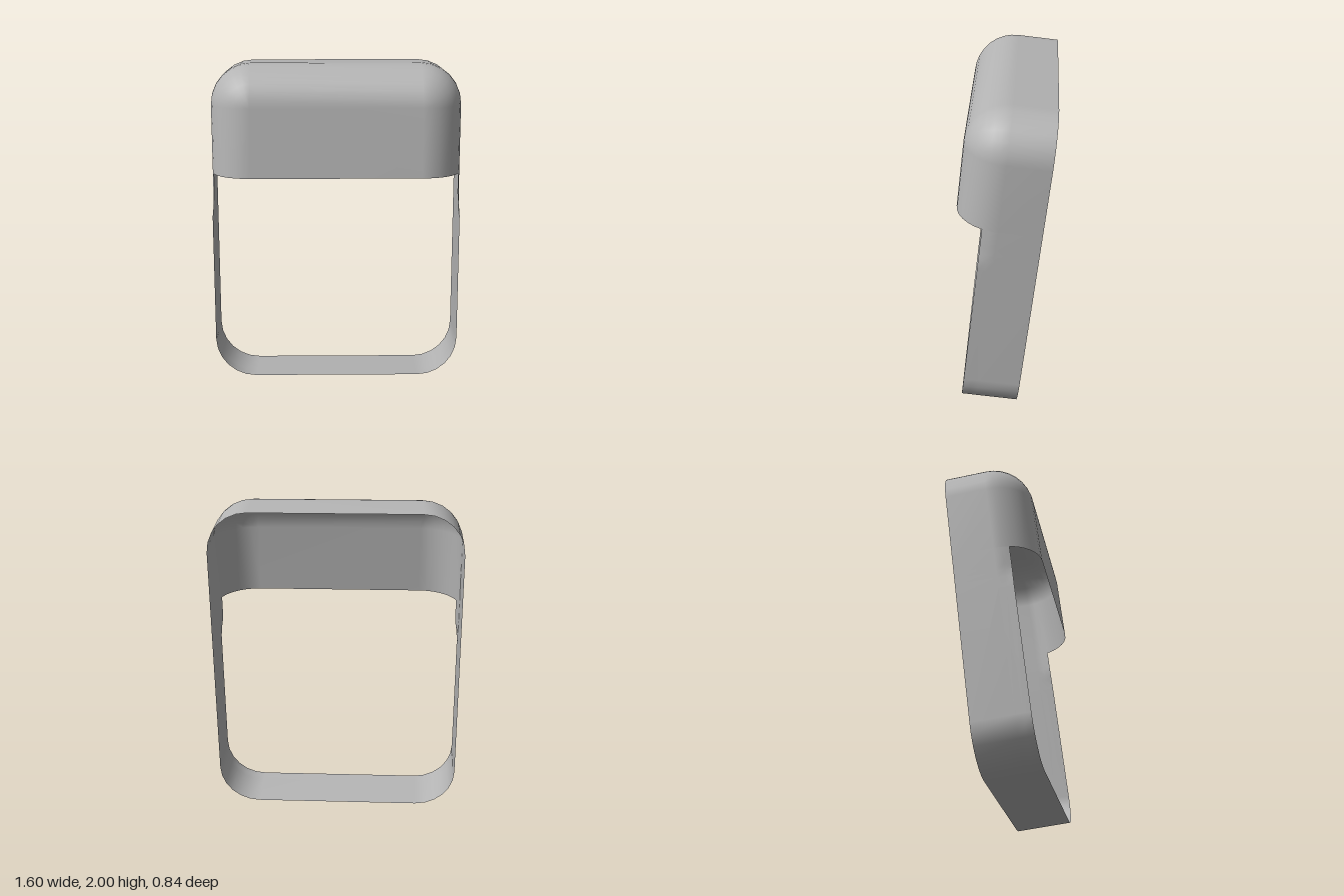
import * as THREE from 'three';
import { mergeVertices } from 'three/addons/utils/BufferGeometryUtils.js';

const R = 0.25;              // corner and fillet radius
const HALF = 0.765 - R;      // corner centre, half width
const LOW = 0.007 + R;       // lower corner centre height
const HIGH = 1.988 - R;      // upper corner centre height
const SPLIT = 1.318;         // lower edge of the hood
const BACK = -0.06, RIM = 0.282, FRONT = 0.441;
const FILLET = FRONT - R;    // depth where the front fillet starts

// Outline point: corner centre plus direction in degrees
const spot = (u, v, deg) => ({ u, v, a: THREE.MathUtils.degToRad(deg) });

function corner(u, v, from, steps = 6) {
  return Array.from({ length: steps + 1 }, (_, i) => spot(u, v, from + (90 * i) / steps));
}

// Skin between rows of points
function skin(rows) {
  const n = rows[0].length, index = [];
  for (let j = 0; j < rows.length - 1; j++) {
    for (let i = 0; i < n - 1; i++) {
      const a = j * n + i, b = a + 1, c = b + n, d = a + n;
      index.push(a, b, d, b, c, d);
    }
  }
  const g = new THREE.BufferGeometry();
  g.setAttribute('position', new THREE.Float32BufferAttribute(rows.flat(2), 3));
  g.setIndex(index);
  const welded = mergeVertices(g, 1e-4);
  welded.computeVertexNormals();
  return welded;
}

const place = (p, w, inset) => [
  p.u + Math.cos(p.a) * (R - inset), p.v + Math.sin(p.a) * (R - inset), w];

// Inset of the fillet at a given depth
function filletInset(w) {
  const s = Math.max(0, (w - FILLET) / R);
  return R * (1 - Math.sqrt(Math.max(0, 1 - s * s)));
}

export function createModel() {
  const grey = new THREE.MeshStandardMaterial({ color: 0xb4b4b4, side: THREE.DoubleSide });
  grey.name = 'grey';

  // Hood: upper arch with rounded front and open underside
  const arch = [spot(HALF, SPLIT, 0), ...corner(HALF, HIGH, 0),
    ...corner(-HALF, HIGH, 90), spot(-HALF, SPLIT, 180)];
  const depths = [BACK, FILLET, FILLET + 0.045, RIM];
  const start = Math.asin((RIM - FILLET) / R);
  for (let i = 1; i <= 6; i++) {
    depths.push(FILLET + R * Math.sin(start + ((Math.PI / 2 - start) * i) / 6));
  }
  const hoodRows = depths.map(w => arch.map(p => place(p, w, filletInset(w))));
  hoodRows.push(arch.map(p => [p.u, SPLIT, FRONT])); // flat front face
  const hood = new THREE.Mesh(skin(hoodRows), grey);
  hood.name = 'hood';

  // Lower band: pinched slightly at the rim where it meets the hood
  const heights = [SPLIT, 1.2, 1.16, 1.12, 1.05];
  const band = [...heights.map(v => spot(-HALF, v, 180)), ...corner(-HALF, LOW, 180),
    ...corner(HALF, LOW, 270), ...heights.slice().reverse().map(v => spot(HALF, v, 0))];
  const bandRows = [BACK, FILLET, FILLET + 0.045, RIM].map(w => band.map(p =>
    place(p, w, filletInset(w) * THREE.MathUtils.smoothstep(p.v, 1.05, 1.2))));
  const lowerBand = new THREE.Mesh(skin(bandRows), grey);
  lowerBand.name = 'lowerBand';

  // Lean back and turn the whole frame
  const frame = new THREE.Group();
  frame.name = 'tiltedFrame';
  frame.rotation.set(THREE.MathUtils.degToRad(-6.7), THREE.MathUtils.degToRad(12.2), 0, 'YXZ');
  frame.add(hood, lowerBand);

  const model = new THREE.Group();
  model.name = 'hoodedFrame';
  model.add(frame);
  return model;
}
